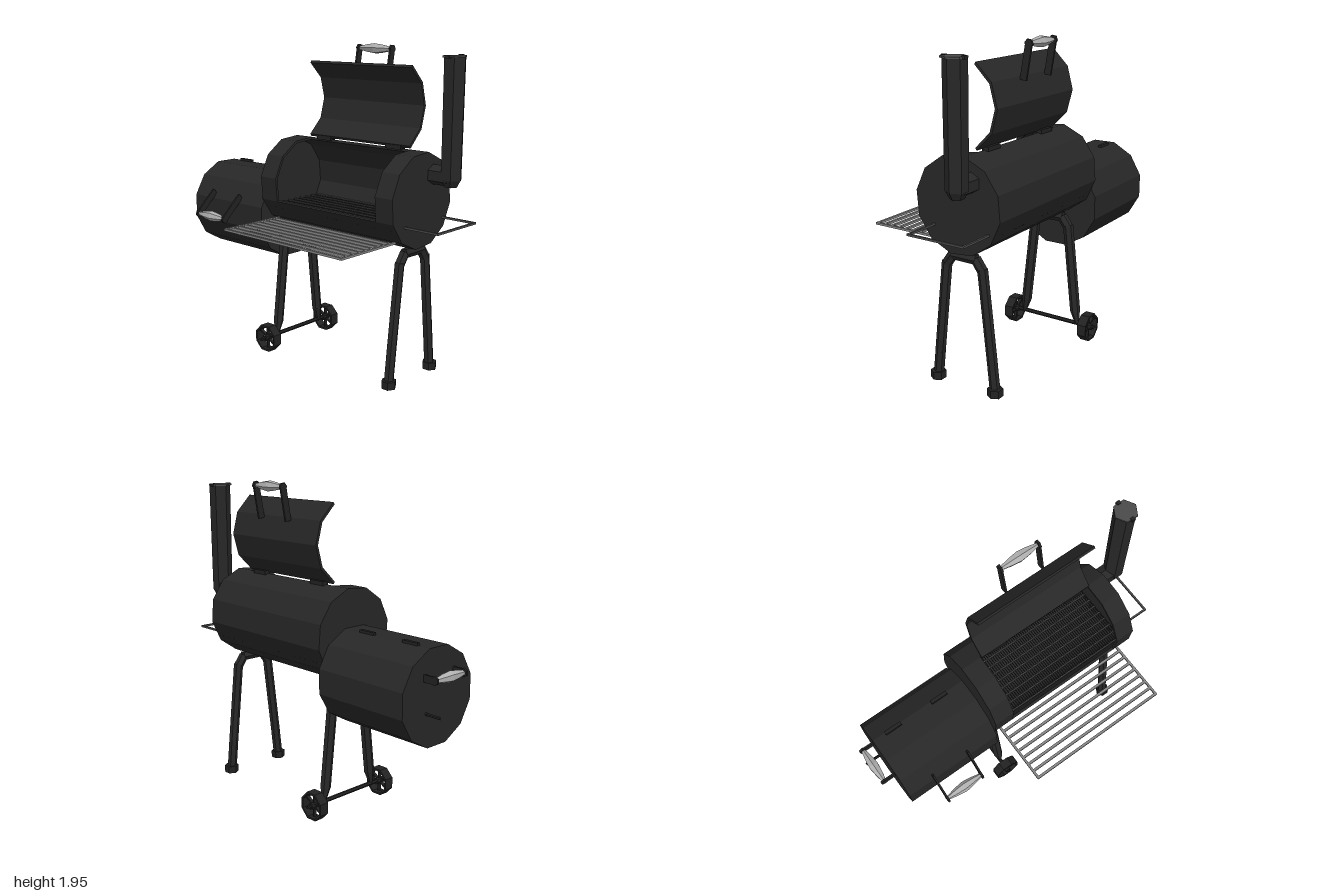
import * as THREE from 'three';

const mat = (name, color) =>
  Object.assign(new THREE.MeshStandardMaterial({ color, flatShading: true }), { name });
const V = (x, y, z) => new THREE.Vector3(x, y, z);
const RAD = Math.PI / 180;

export function createModel() {
  const root = new THREE.Group();
  root.name = 'offsetSmoker';
  const body = mat('blackSteel', 0x272727);
  const trim = mat('darkTrim', 0x222222);
  const rackGrey = mat('darkGreySteel', 0x4a4a4a);
  const wire = mat('greyWire', 0x858585);
  const grip = mat('silverGrip', 0xb0b0b0);

  const add = (name, geo, m, parent = root) => {
    const mesh = new THREE.Mesh(geo, m);
    mesh.name = name;
    parent.add(mesh);
    return mesh;
  };
  const group = (name) => {
    const g = new THREE.Group();
    g.name = name;
    root.add(g);
    return g;
  };
  const box = (name, w, h, d, x, y, z, m, parent) =>
    add(name, new THREE.BoxGeometry(w, h, d).translate(x, y, z), m, parent);
  // Straight six-sided rod between two points, optionally tapered
  const rod = (name, a, b, r, m, parent, rEnd = r) => {
    const d = b.clone().sub(a);
    const geo = new THREE.CylinderGeometry(rEnd, r, d.length(), 6).rotateY(Math.PI / 6);
    const mesh = add(name, geo, m, parent);
    mesh.position.copy(a).add(b).multiplyScalar(0.5);
    mesh.quaternion.setFromUnitVectors(V(0, 1, 0), d.normalize());
    return mesh;
  };
  // Points of a 12-sided drum as [z, y], from angle a0 in 30 degree steps
  const arc = (cz, cy, r, a0, steps) => Array.from({ length: steps + 1 }, (_, i) => {
    const a = (a0 + 30 * i) * RAD;
    return [cz + r * Math.cos(a), cy + r * Math.sin(a)];
  });
  const toV2 = (pts) => pts.map(([z, y]) => new THREE.Vector2(-z, y));
  // Outline in the z-y plane extruded along x; the hole runs the other way round
  const prism = (name, pts, x0, x1, m, parent, hole) => {
    const s = new THREE.Shape(toV2(pts));
    if (hole) s.holes.push(new THREE.Path(toV2(hole).reverse()));
    const geo = new THREE.ExtrudeGeometry(s, { depth: x1 - x0, bevelEnabled: false });
    return add(name, geo.rotateY(Math.PI / 2).translate(x0, 0, 0), m, parent);
  };

  // Cooking chamber: closed ends, open upper front
  const CZ = -0.157, CY = 1.084, R = 0.28;
  const chamber = group('cookingChamber');
  const full = arc(CZ, CY, R, 10, 11), inner = arc(CZ, CY, R - 0.016, 10, 11);
  prism('leftEndPlate', full, -0.26, -0.25, body, chamber);
  prism('rightEndPlate', full, 0.762, 0.773, body, chamber);
  prism('leftEndRing', full, -0.25, -0.13, body, chamber, inner);
  prism('rightEndRing', full, 0.65, 0.762, body, chamber, inner);
  const shell = (cz, cy, r, a0, steps) =>
    [...arc(cz, cy, r, a0, steps), ...arc(cz, cy, r - 0.016, a0, steps).reverse()];
  prism('chamberShell', shell(CZ, CY, R, 100, 8), -0.13, 0.65, body, chamber);

  // Raised lid with hinges
  prism('lid', shell(-0.063, 1.603, 0.272, 120, 4), -0.13, 0.65, body);
  for (const x of [-0.015, 0.528]) box('lidHinge', 0.115, 0.025, 0.04, x, 1.365, -0.21, trim);

  // Cooking grate: a few long bars over a fine row of cross bars
  const grate = group('cookingGrate');
  for (let i = 0; i < 9; i++) box('grateBar', 0.99, 0.007, 0.008, 0.256, 0.952, -0.368 + i * 0.0525, rackGrey, grate);
  for (let i = 0; i <= 66; i++) box('grateCrossBar', 0.005, 0.005, 0.466, -0.235 + i * 0.0149, 0.946, -0.158, trim, grate);

  // Firebox
  prism('firebox', arc(CZ, 0.855, 0.285, 15, 11), -0.9, -0.26, body);
  for (const x of [-0.76, -0.435]) box('fireboxHinge', 0.11, 0.02, 0.022, x, 1.135, -0.222, trim);
  rod('damperRod', V(-0.88, 0.777, -0.25), V(-1, 0.777, -0.25), 0.009, trim);

  // Spindle grip with two flat brackets; runs along x, bracket foot at the origin
  const handle = (name, halfGap, reach) => {
    const g = group(name);
    const profile = [[0, -0.12], [0.012, -0.12], [0.025, -0.06], [0.033, 0], [0.025, 0.06], [0.012, 0.12], [0, 0.12]]
      .map(([r, y]) => new THREE.Vector2(r, y));
    add('grip', new THREE.LatheGeometry(profile, 6).rotateZ(Math.PI / 2).translate(0, reach, 0), grip, g);
    for (const s of [-1, 1]) {
      box('bracket', 0.012, reach, 0.042, s * halfGap, reach / 2, 0, trim, g);
      add('bracketEnd', new THREE.CylinderGeometry(0.026, 0.026, 0.014, 6).rotateZ(Math.PI / 2)
        .translate(s * halfGap, reach, 0), trim, g);
    }
    return g;
  };
  const lidHandle = handle('lidHandle', 0.125, 0.2);
  lidHandle.position.set(0.255, 1.72, -0.32);
  lidHandle.rotation.x = -0.17;
  const fireboxHandle = handle('fireboxHandle', 0.125, 0.19);
  fireboxHandle.position.set(-0.595, 0.975, 0.105);
  fireboxHandle.rotation.x = 2.33;
  const sideHandle = handle('sideHandle', 0.118, 0.082);
  sideHandle.position.set(-0.89, 0.978, -0.123);
  sideHandle.rotation.set(0, Math.PI / 2, Math.PI / 2, 'ZYX');
  sideHandle.position.z = -0.15;

  // Chimney: elbow, stack and flap cap
  const chimney = group('chimney');
  rod('elbow', V(0.765, 1.227, -0.252), V(0.9, 1.227, -0.252), 0.058, body, chimney);
  rod('elbowCorner', V(0.895, 1.17, -0.252), V(0.897, 1.215, -0.252), 0.04, body, chimney, 0.063);
  rod('stack', V(0.897, 1.21, -0.252), V(0.895, 1.888, -0.252), 0.063, body, chimney, 0.066);
  rod('chimneyCap', V(0.895, 1.888, -0.247), V(0.895, 1.898, -0.247), 0.072, rackGrey, chimney);
  for (const z of [-0.31, -0.185]) box('capPivot', 0.024, 0.018, 0.022, 0.895, 1.893, z, trim, chimney);

  // Front wire shelf
  const shelf = group('frontShelf');
  for (let i = 0; i < 9; i++)
    box('shelfBar', 0.93, 0.013, 0.016, 0.257, 0.862, 0.468 - i * 0.052, wire, shelf);
  for (const x of [-0.203, 0.717]) box('shelfSide', 0.014, 0.013, 0.46, x, 0.862, 0.245, wire, shelf);

  // Side wire rack
  const rack = group('sideRack');
  for (const z of [-0.36, 0]) box('rackArm', 0.235, 0.012, 0.012, 0.8825, 0.957, z, rackGrey, rack);
  box('rackRail', 0.012, 0.012, 0.372, 0.994, 0.957, -0.18, rackGrey, rack);

  // Bent tube leg frames
  const legFrame = (name, x, r, yEnd, rEnd) => {
    const g = group(name);
    rod('legBridge', V(x, 0.782, CZ - 0.085), V(x, 0.782, CZ + 0.085), r, body, g);
    for (const s of [-1, 1]) {
      const at = (y, dz) => V(x, y, CZ + s * dz);
      rod('legBend', at(0.785, 0.075), at(0.72, 0.122), r, body, g);
      rod('leg', at(0.735, 0.12), at(0.17, 0.183), r, body, g);
      rod('lowerLeg', at(0.175, 0.182), at(yEnd, 0.2), r, body, g, rEnd);
    }
    return g;
  };
  const rightLegs = legFrame('rightLegs', 0.715, 0.03, 0.01, 0.03);
  for (const s of [-1, 1])
    rod('foot', V(0.717, 0, CZ + s * 0.2), V(0.717, 0.046, CZ + s * 0.2), 0.045, trim, rightLegs);
  legFrame('leftLegs', -0.207, 0.032, 0.08, 0.012);

  // Axle and spoked wheels
  rod('axle', V(-0.21, 0.087, -0.475), V(-0.21, 0.087, 0.157), 0.013, trim);
  const ring = (r) => Array.from({ length: 8 }, (_, i) => {
    const a = (i + 0.5) * Math.PI / 4;
    return new THREE.Vector2(r * Math.cos(a), r * Math.sin(a));
  });
  for (const s of [-1, 1]) {
    const w = group(s > 0 ? 'frontWheel' : 'backWheel');
    const rim = new THREE.Shape(ring(0.09));
    rim.holes.push(new THREE.Path(ring(0.077)));
    add('rim', new THREE.ExtrudeGeometry(rim, { depth: 0.06, bevelEnabled: false }).translate(0, 0, -0.03), trim, w);
    add('hub', new THREE.CylinderGeometry(0.02, 0.02, 0.066, 8).rotateX(Math.PI / 2), trim, w);
    for (let i = 0; i < 6; i++) {
      const spoke = box('spoke', 0.01, 0.068, 0.02, 0, 0.044, 0, trim, w);
      spoke.rotation.z = i * Math.PI / 3;
    }
    w.position.set(-0.21, 0.084, CZ + s * 0.273);
  }
  return root;
}
